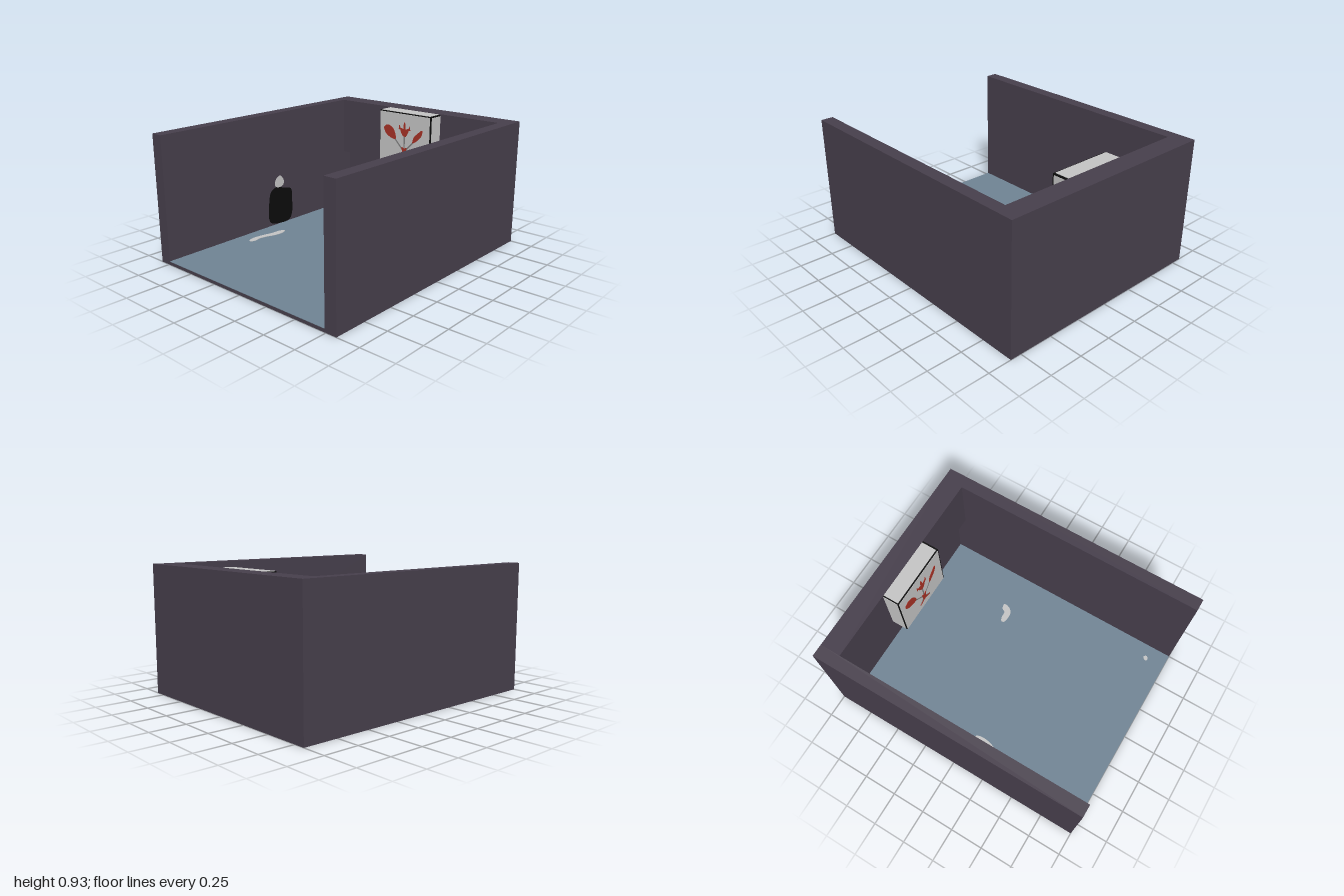
import * as THREE from 'three';

const flat = (name, color) => {
  const m = new THREE.MeshStandardMaterial({ color });
  m.name = name;
  return m;
};

export function createModel() {
  const model = new THREE.Group();
  model.name = 'room';
  const wall = flat('wall purple', 0x463e4b);
  const floor = flat('floor blue', 0x6e8292);
  const white = flat('off white', 0xc2c2c2);
  const black = flat('black', 0x0c0c0c);
  const red = flat('red', 0xa53024);
  const grey = flat('handle grey', 0x7c7c7c);

  // Box given by its minimum and maximum corners
  function box(name, mat, [x0, y0, z0], [x1, y1, z1], parent = model) {
    const mesh = new THREE.Mesh(new THREE.BoxGeometry(x1 - x0, y1 - y0, z1 - z0), mat);
    mesh.position.set((x0 + x1) / 2, (y0 + y1) / 2, (z0 + z1) / 2);
    mesh.name = name;
    parent.add(mesh);
    return mesh;
  }

  // Thin plate from an outline, either straight-edged or smoothed
  function plate(name, mat, pts, smooth, parent = model) {
    let outline = pts.map(([x, y]) => new THREE.Vector3(x, y, 0));
    if (smooth) outline = new THREE.CatmullRomCurve3(outline, true).getPoints(40).slice(0, -1);
    const shape = new THREE.Shape(outline.map((p) => new THREE.Vector2(p.x, p.y)));
    const geo = new THREE.ExtrudeGeometry(shape, { depth: 0.003, bevelEnabled: false });
    const mesh = new THREE.Mesh(geo, mat);
    mesh.name = name;
    parent.add(mesh);
    return mesh;
  }

  // Floor and walls; the back wall is recessed below its upper half
  box('floorSlab', wall, [-0.83, 0, -1], [0.83, 0.023, 1]);
  box('floorSurface', floor, [-0.74, 0.023, -0.93], [0.74, 0.026, 1]);
  for (const s of [-1, 1]) {
    const x = [0.74 * s, 0.83 * s].sort((a, b) => a - b);
    box(s < 0 ? 'rightWall' : 'leftWall', wall, [x[0], 0.023, -1], [x[1], 0.93, 1]);
  }
  box('backWallLower', wall, [-0.74, 0.023, -1], [0.74, 0.48, -0.93]);
  box('backWallUpper', wall, [-0.74, 0.48, -1], [0.74, 0.93, -0.85]);

  // Sign box: black core with pale panels leaving dark edges
  const sign = new THREE.Group();
  sign.name = 'sign';
  model.add(sign);
  box('signCore', black, [-0.244, 0.486, -0.85], [0.241, 0.924, -0.727], sign);
  box('signFront', white, [-0.24, 0.493, -0.727], [0.232, 0.917, -0.724], sign);
  box('signTop', white, [-0.238, 0.924, -0.85], [0.228, 0.927, -0.735], sign);
  box('signBottom', white, [-0.238, 0.483, -0.85], [0.228, 0.486, -0.735], sign);
  box('signRightSide', white, [-0.247, 0.493, -0.85], [-0.244, 0.915, -0.738], sign);
  box('signLeftSide', white, [0.241, 0.493, -0.85], [0.244, 0.915, -0.738], sign);

  // Crossed spoon, fork and knife painted on the sign
  const cutlery = new THREE.Group();
  cutlery.name = 'cutlery';
  cutlery.position.z = -0.724;
  sign.add(cutlery);
  const handles = [
    [-0.09, 0.71, 0.06, 0.555],
    [0.09, 0.71, -0.06, 0.555],
    [0, 0.76, 0, 0.62],
  ];
  for (const [x0, y0, x1, y1] of handles) {
    const h = new THREE.Mesh(
      new THREE.BoxGeometry(Math.hypot(x1 - x0, y1 - y0), 0.01, 0.002), grey);
    h.position.set((x0 + x1) / 2, (y0 + y1) / 2, 0.001);
    h.rotation.z = Math.atan2(y1 - y0, x1 - x0);
    h.name = 'handle';
    cutlery.add(h);
  }
  plate('spoonBowl', red, [[-0.085, 0.71], [-0.13, 0.715], [-0.18, 0.745], [-0.2, 0.79],
    [-0.17, 0.815], [-0.12, 0.8], [-0.09, 0.755]], true, cutlery);
  plate('knifeBlade', red, [[0.08, 0.7], [0.09, 0.745], [0.13, 0.785], [0.165, 0.81],
    [0.165, 0.775], [0.13, 0.73]], true, cutlery);
  plate('forkHead', red, [[-0.012, 0.74], [0.012, 0.74], [0.03, 0.765], [0.04, 0.79], [0.055, 0.795],
    [0.05, 0.83], [0.038, 0.805], [0.01, 0.8], [0.008, 0.835], [0, 0.855], [-0.008, 0.835],
    [-0.01, 0.8], [-0.038, 0.805], [-0.05, 0.83], [-0.055, 0.795], [-0.04, 0.79],
    [-0.03, 0.765]], false, cutlery);
  plate('crossing', red, [[-0.025, 0.655], [-0.017, 0.61], [-0.022, 0.585], [-0.06, 0.565],
    [-0.055, 0.555], [0, 0.575], [0.055, 0.555], [0.06, 0.565], [0.022, 0.585], [0.017, 0.61],
    [0.025, 0.655], [0, 0.645]].reverse(), false, cutlery);

  // Pale splashes on the floor, outlined in x and z
  const splashes = [
    [[-0.59, 0.03], [-0.565, 0.06], [-0.565, 0.15], [-0.59, 0.22], [-0.6, 0.28], [-0.59, 0.34],
      [-0.615, 0.37], [-0.64, 0.33], [-0.635, 0.23], [-0.615, 0.14], [-0.61, 0.07]],
    [[0.32, -0.28], [0.35, -0.295], [0.4, -0.3], [0.42, -0.33], [0.46, -0.335],
      [0.455, -0.29], [0.42, -0.255], [0.36, -0.25], [0.325, -0.26]],
    [[0.615, 0.85], [0.635, 0.83], [0.652, 0.845], [0.64, 0.865], [0.62, 0.865]],
  ];
  for (const pts of splashes) {
    const s = plate('floorSplash', white, pts.map(([x, z]) => [x, -z]), true);
    s.rotation.x = -Math.PI / 2;
    s.position.y = 0.026;
  }

  // Dark patch and pale spot on the inside of the right wall, outlined in -z and y
  const marks = [
    ['wallPatch', black, [[-0.04, 0.06], [0.06, 0.03], [0.17, 0.035], [0.2, 0.08], [0.205, 0.2],
      [0.195, 0.29], [0.13, 0.31], [0.04, 0.335], [-0.02, 0.31], [-0.045, 0.22]]],
    ['wallSpot', white, [[0.025, 0.345], [0.07, 0.33], [0.11, 0.345], [0.115, 0.38],
      [0.075, 0.425], [0.03, 0.395]]],
  ];
  marks.forEach(([name, mat, pts], i) => {
    const m = plate(name, mat, pts, true);
    m.rotation.y = Math.PI / 2;
    m.position.x = -0.74 + i * 0.001;
  });

  return model;
}
